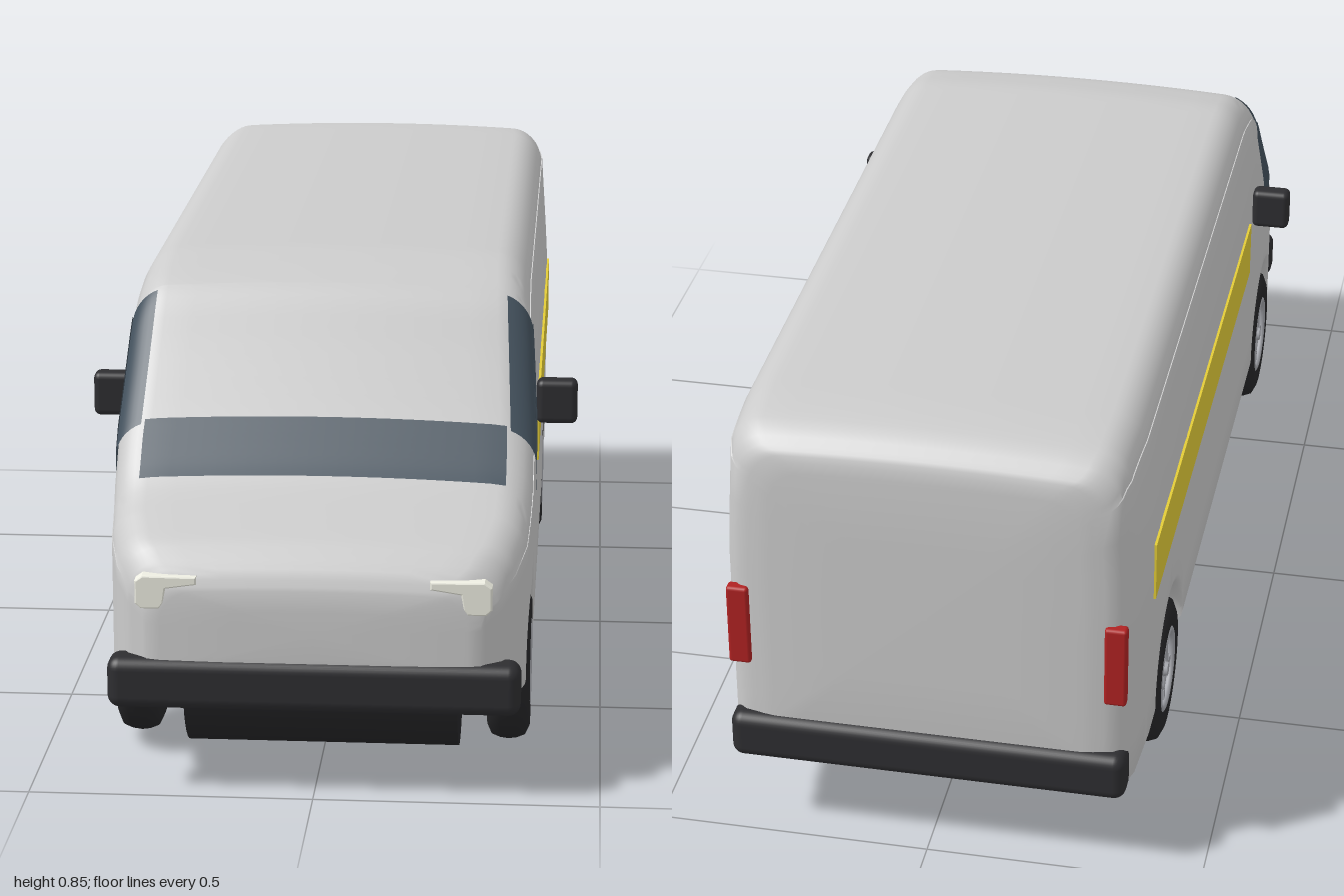
import * as THREE from 'three';
import { toCreasedNormals } from 'three/addons/utils/BufferGeometryUtils.js';
import { RoundedBoxGeometry } from 'three/addons/geometries/RoundedBoxGeometry.js';

const mat = (color, side = THREE.FrontSide) => new THREE.MeshStandardMaterial({ color, side });
const paint = mat(0xcccccc), dark = mat(0x2e2e31), tyreMat = mat(0x262628);
const glass = mat(0x44525e, THREE.DoubleSide), yellow = mat(0xe3cc38);
const red = mat(0xb02222), lamp = mat(0xeeeee2), alloy = mat(0xa4a6ac);

const AXLES = [0.69, -0.58], AXLE_Y = 0.155, ARCH_R = 0.16;

// Body outline along z: half width, roof height, floor height
const WIDTH = [[-0.98, 0.30], [-0.972, 0.335], [-0.955, 0.355], [-0.92, 0.366], [-0.8, 0.373], [0.75, 0.373],
  [0.85, 0.366], [0.92, 0.348], [0.96, 0.325], [0.985, 0.29]];
const ROOF = [[-0.98, 0.79], [-0.972, 0.82], [-0.955, 0.838], [-0.92, 0.85], [-0.85, 0.856], [0.4, 0.856],
  [0.5, 0.836], [0.55, 0.807], [0.6, 0.735], [0.7, 0.607], [0.775, 0.525], [0.81, 0.503], [0.94, 0.447],
  [0.97, 0.42], [0.985, 0.385]];
const FLOOR = [[-0.98, 0.21], [-0.965, 0.17], [-0.94, 0.157], [0.94, 0.157], [0.97, 0.18], [0.985, 0.21]];

function lerpKeys(keys, z) {
  if (z <= keys[0][0]) return keys[0][1];
  for (let i = 1; i < keys.length; i++) {
    const [z0, v0] = keys[i - 1], [z1, v1] = keys[i];
    if (z <= z1) return v0 + (v1 - v0) * (z - z0) / (z1 - z0);
  }
  return keys[keys.length - 1][1];
}
const roofAt = (z) => {
  const d = Math.min(0.018, 0.985 - Math.abs(z));
  return d <= 0.005 ? lerpKeys(ROOF, z) : (lerpKeys(ROOF, z - d) + lerpKeys(ROOF, z) + lerpKeys(ROOF, z + d)) / 3;
};
const floorAt = (z) => {
  for (const a of AXLES) {
    const d = ARCH_R * ARCH_R - (z - a) ** 2;
    if (d > 0) return AXLE_Y + 0.002 + Math.sqrt(d);
  }
  return lerpKeys(FLOOR, z);
};
const CORNER = 0.06;

// Crowned roof and sides that lean in towards the top
const shaped = (x, y, z, top) => {
  const crown = y > top - CORNER ? 0.012 * (x / 0.37) ** 2 : 0;
  return [x * (1 - 0.045 * Math.max(0, y - 0.58) / 0.25), y - crown, z];
};

// Half cross-section from roof centre to floor centre
function halfSection(z) {
  const w = lerpKeys(WIDTH, z), t = roofAt(z), b = floorAt(z), r = CORNER, q = 0.022, pts = [];
  for (let i = 0; i < 6; i++) pts.push([(w - r) * i / 6, t]);
  for (let i = 0; i <= 8; i++) {
    const a = i / 8 * Math.PI / 2;
    pts.push([w - r + r * Math.sin(a), t - r + r * Math.cos(a)]);
  }
  for (let i = 1; i < 8; i++) pts.push([w, t - r + (b + q - t + r) * i / 8]);
  for (let i = 0; i <= 4; i++) {
    const a = i / 4 * Math.PI / 2;
    pts.push([w - q + q * Math.cos(a), b + q - q * Math.sin(a)]);
  }
  pts.push([0, b]);
  return pts.map(([x, y]) => shaped(x, y, z, t));
}

// Surface from rows of points
function grid(rows) {
  const n = rows[0].length, index = [];
  for (let i = 0; i < rows.length - 1; i++) for (let j = 0; j < n - 1; j++) {
    const a = i * n + j, b = a + 1, d = a + n, c = d + 1;
    index.push(a, d, c, a, c, b);
  }
  const g = new THREE.BufferGeometry();
  g.setAttribute('position', new THREE.Float32BufferAttribute(rows.flat(2), 3));
  g.setIndex(index);
  g.computeVertexNormals();
  return g;
}

function bodyGeometry() {
  const zs = [-0.98, -0.976, -0.972, -0.964, -0.955, 0.965, 0.97, 0.975, 0.98, 0.985];
  for (let z = -0.94; z < 0.961; z += 0.02) {
    if (AXLES.every((a) => Math.abs(z - a) > ARCH_R + 0.004)) zs.push(z);
  }
  for (const a of AXLES) for (let i = 0; i <= 24; i++) zs.push(a + ARCH_R * Math.cos(i / 24 * Math.PI));
  zs.sort((p, q) => p - q);
  const rows = zs.map((z) => {
    const half = halfSection(z);
    return [...half, ...half.slice(0, -1).reverse().map(([x, y, k]) => [-x, y, k])];
  });
  // Slightly domed ends
  const inset = (row, s, z, cy) => row.map(([x, y]) => [x * s, cy + (y - cy) * s, z]);
  const back = rows[0], front = rows[rows.length - 1];
  for (const [s, z] of [[0.93, -0.983], [0.5, -0.985], [0, -0.986]]) rows.unshift(inset(back, s, z, 0.5));
  for (const [s, z] of [[0.92, 0.988], [0.5, 0.99], [0, 0.991]]) rows.push(inset(front, s, z, 0.3));
  return toCreasedNormals(grid(rows), 0.65);
}

function windscreenGeometry() {
  const rows = [];
  for (let i = 0; i <= 8; i++) {
    const z = 0.7 + 0.082 * i / 8, t = roofAt(z), w = lerpKeys(WIDTH, z), row = [];
    for (let j = 0; j <= 24; j++) {
      const x = -0.325 + 0.65 * j / 24, e = Math.max(0, Math.abs(x) - (w - CORNER));
      const [px, py] = shaped(x, t - CORNER + Math.sqrt(CORNER ** 2 - e * e), z, t);
      row.push([px, py + 0.005, z + 0.004]);
    }
    rows.push(row);
  }
  return grid(rows);
}

// Quarter window wrapping round the front pillar
function sideWindowGeometry() {
  const lower = [[0.54, 0.715], [0.6, 0.59], [0.655, 0.495], [0.675, 0.48], [0.705, 0.48]], rows = [];
  for (let i = 0; i <= 16; i++) {
    const z = 0.54 + 0.165 * i / 16, t = roofAt(z), w = lerpKeys(WIDTH, z), r = CORNER + 0.004;
    const cx = w - CORNER, cy = t - CORNER, a0 = Math.asin((0.332 - cx) / r), row = [];
    for (let j = 0; j <= 8; j++) {
      const a = a0 + (Math.PI / 2 - a0) * j / 8;
      row.push(shaped(cx + r * Math.sin(a), cy + r * Math.cos(a), z, t));
    }
    const yl = Math.min(cy - 0.002, lerpKeys(lower, z));
    for (let j = 1; j <= 4; j++) row.push(shaped(cx + r, cy + (yl - cy) * j / 4, z, t));
    rows.push(row);
  }
  return grid(rows);
}

function add(parent, name, geo, material, x = 0, y = 0, z = 0) {
  const m = new THREE.Mesh(geo, material);
  m.name = name;
  m.position.set(x, y, z);
  parent.add(m);
  return m;
}

// Wheel built facing +y, then turned to face +x
function makeWheel() {
  const wheel = new THREE.Group();
  const profile = [[0.078, -0.038], [0.115, -0.038], [0.132, -0.03], [0.138, -0.015], [0.14, 0], [0.138, 0.015],
    [0.132, 0.03], [0.115, 0.038], [0.085, 0.038], [0.078, 0.028]].map(([r, y]) => new THREE.Vector2(r, y));
  add(wheel, 'tyre', new THREE.LatheGeometry(profile, 40), tyreMat);
  add(wheel, 'rimDish', new THREE.CylinderGeometry(0.08, 0.08, 0.06, 32), dark, 0, -0.008, 0);
  const ring = (name, r, tube, sides, y) => {
    const m = add(wheel, name, new THREE.TorusGeometry(r, tube, 8, sides), alloy, 0, y, 0);
    m.rotation.x = Math.PI / 2;
  };
  ring('rimRing', 0.076, 0.007, 36, 0.032);
  ring('rimStar', 0.046, 0.008, 5, 0.024);
  for (let i = 0; i < 5; i++) {
    const a = i / 5 * Math.PI * 2;
    const spoke = add(wheel, 'spoke', new THREE.BoxGeometry(0.03, 0.012, 0.013), alloy,
      0.061 * Math.cos(a), 0.026, 0.061 * Math.sin(a));
    spoke.rotation.y = -a;
  }
  add(wheel, 'hubCap', new THREE.CylinderGeometry(0.013, 0.016, 0.02, 16), alloy, 0, 0.028, 0);
  wheel.rotation.z = -Math.PI / 2;
  return wheel;
}

export function createModel() {
  const van = new THREE.Group();
  van.name = 'van';
  add(van, 'body', bodyGeometry(), paint);
  add(van, 'windscreen', windscreenGeometry(), glass);

  // Bumpers
  const bumper = new RoundedBoxGeometry(0.72, 0.092, 0.068, 4, 0.022);
  add(van, 'frontBumper', bumper, dark, 0, 0.205, 0.966);
  add(van, 'rearBumper', bumper, dark, 0, 0.205, -0.966);

  // Wheel housings spanning the underside
  for (const z of AXLES) {
    const housing = add(van, 'wheelHousing', new THREE.CylinderGeometry(0.153, 0.153, 0.49, 40), tyreMat, 0, AXLE_Y, z);
    housing.rotation.z = Math.PI / 2;
  }

  // Headlamp outline with a thin strip running inwards
  const lampShape = new THREE.Shape([[0.205, 0.388], [0.205, 0.397], [0.295, 0.398], [0.306, 0.39], [0.306, 0.352],
    [0.298, 0.344], [0.268, 0.344], [0.262, 0.352], [0.258, 0.38]].map(([x, y]) => new THREE.Vector2(x, y)));
  const lampGeo = new THREE.ExtrudeGeometry(lampShape,
    { depth: 0.026, bevelThickness: 0.004, bevelSize: 0.003, bevelSegments: 2 });

  // Everything that repeats on both sides
  for (const s of [1, -1]) {
    const side = new THREE.Group();
    side.name = s > 0 ? 'leftSide' : 'rightSide';
    side.scale.x = s;
    van.add(side);
    add(side, 'sideWindow', sideWindowGeometry(), glass);
    add(side, 'stripe', new THREE.BoxGeometry(0.012, 0.115, 1.21), yellow, 0.371, 0.517, -0.185);
    add(side, 'mirror', new RoundedBoxGeometry(0.075, 0.082, 0.04, 3, 0.012), dark, 0.41, 0.59, 0.473);
    add(side, 'tailLamp', new RoundedBoxGeometry(0.04, 0.16, 0.024, 2, 0.006), red, 0.338, 0.44, -0.974);
    add(side, 'headlamp', lampGeo, lamp, 0, 0, 0.958);
    for (const z of AXLES) {
      const wheel = makeWheel();
      wheel.name = z > 0 ? 'frontWheel' : 'rearWheel';
      wheel.position.set(0.334, AXLE_Y + 0.002, z);
      side.add(wheel);
    }
  }
  return van;
}
